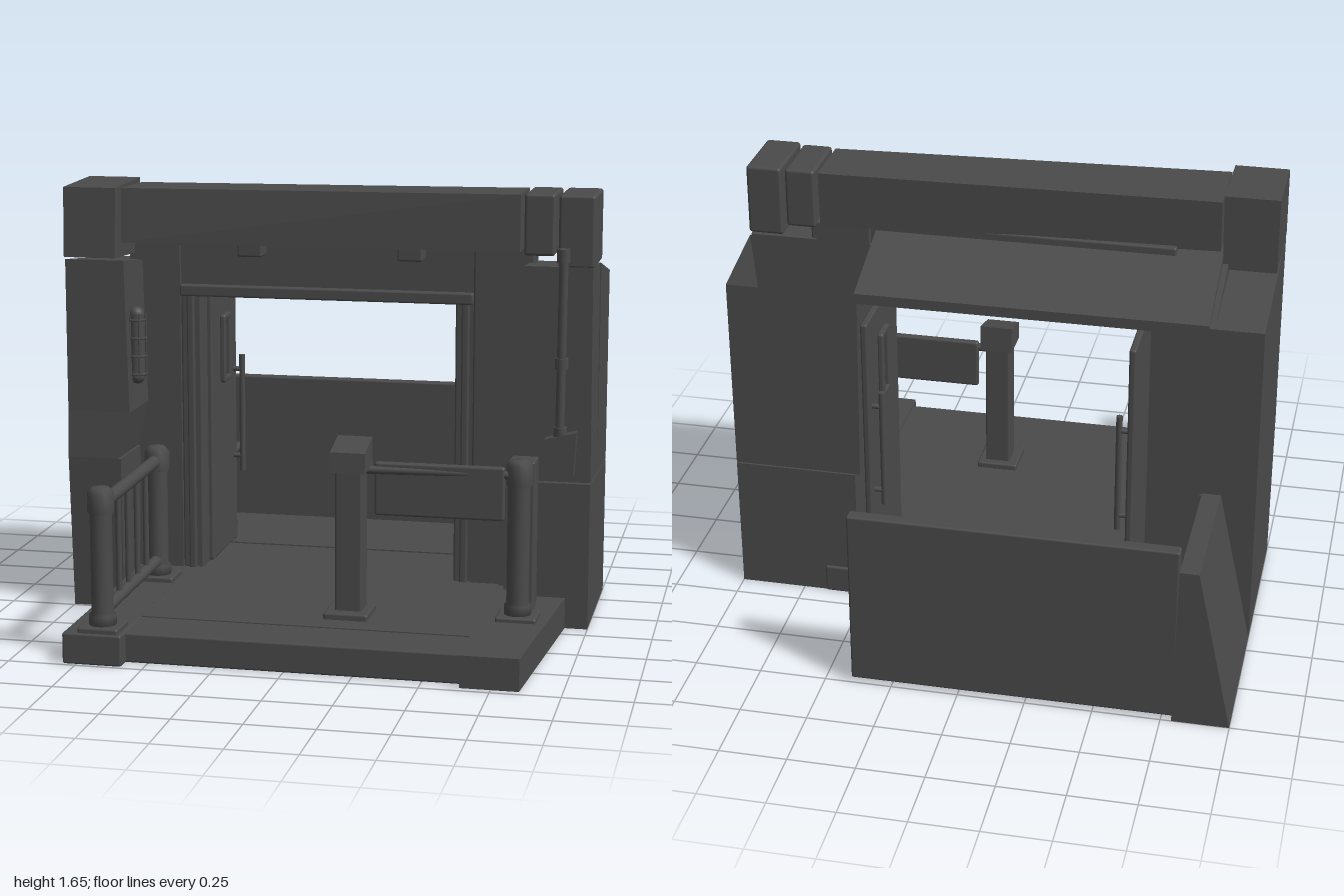
import * as THREE from 'three';
import { RoundedBoxGeometry } from 'three/addons/geometries/RoundedBoxGeometry.js';

const darkGrey = new THREE.MeshStandardMaterial({ color: 0x4a4a4a });
darkGrey.name = 'darkGrey';
const openGrey = darkGrey;

export function createModel() {
  const root = new THREE.Group();
  root.name = 'entrance';

  const add = (name, geometry, x = 0, y = 0, z = 0) => {
    const mesh = new THREE.Mesh(geometry, openGrey);
    mesh.name = name;
    mesh.position.set(x, y, z);
    root.add(mesh);
    return mesh;
  };

  // box given by its limits, with softly rounded edges
  const box = (name, x0, x1, y0, y1, z0, z1, r = 0.008) => {
    const w = x1 - x0, h = y1 - y0, d = z1 - z0;
    return add(name, new RoundedBoxGeometry(w, h, d, 2, Math.min(r, w / 3, h / 3, d / 3)),
      (x0 + x1) / 2, (y0 + y1) / 2, (z0 + z1) / 2);
  };

  // six-sided block; corners run front-left, front-right, back-right, back-left
  const block = (name, low, high, openTop = false) => {
    const quads = [[low[3], low[2], low[1], low[0]]];
    if (!openTop) quads.push(high);
    for (let i = 0; i < 4; i++) {
      const j = (i + 1) % 4;
      quads.push([low[i], low[j], high[j], high[i]]);
    }
    return faces(name, quads);
  };
  const faces = (name, quads) => {
    const g = new THREE.BufferGeometry();
    const pos = quads.flatMap(([a, b, c, d]) => [a, b, c, a, c, d].flat());
    g.setAttribute('position', new THREE.Float32BufferAttribute(pos, 3));
    g.computeVertexNormals();
    return add(name, g);
  };
  const ring = (x0, x1, zBack, zFront, yBack, yFront) =>
    [[x0, yFront, zFront], [x1, yFront, zFront], [x1, yBack, zBack], [x0, yBack, zBack]];

  // round bar between two points
  const bar = (name, a, b, r, sides = 16) => {
    const p = new THREE.Vector3(...a), q = new THREE.Vector3(...b);
    const mesh = add(name, new THREE.CylinderGeometry(r, r, p.distanceTo(q), sides));
    mesh.position.copy(p).add(q).multiplyScalar(0.5);
    mesh.quaternion.setFromUnitVectors(new THREE.Vector3(0, 1, 0), q.sub(p).normalize());
    return mesh;
  };

  // platform, curbs and rear floor
  box('frontFloor', -0.6, 0.66, 0, 0.11, -0.42, 0.93);
  box('frontStepPanel', -0.59, 0.64, 0.1, 0.116, -0.1, 0.72, 0.003);
  box('leftFloorEdge', -0.8, -0.58, 0, 0.115, -0.3, 0.99);
  block('rightFloorEdge',
    [[0.64, 0, 0.97], [0.85, 0, 0.97], [0.92, 0, 0.1], [0.64, 0, 0.1]],
    [[0.64, 0.118, 0.97], [0.85, 0.118, 0.97], [0.92, 0.118, 0.1], [0.64, 0.118, 0.1]]);
  block('rearFloor', [[-0.8, 0, -0.4], [0.4, 0, -0.4], [0.4, 0.03, -0.97], [-0.8, 0.03, -0.97]],
    ring(-0.8, 0.4, -0.97, -0.4, 0.1, 0.115));

  // low rear walls
  box('rearWall', -0.8, 0.4, 0.02, 0.71, -1, -0.95);
  block('leaningSideWall', ring(-1, -0.79, -1, -0.4, 0, 0), ring(-0.87, -0.8, -1, -0.4, 0.63, 0.61));

  // right pillar with a hollow upper part
  block('rightPillarBase', ring(0.53, 1, -0.41, 0.02, 0, 0), ring(0.53, 1, -0.41, 0.02, 0.53, 0.55));
  block('rightPillarFoot', ring(0.74, 1, -0.05, 0.17, 0, 0), ring(0.74, 1, -0.05, 0.17, 0.545, 0.56));
  block('rightPillarShell', ring(0.51, 1, -0.41, -0.08, 0.535, 0.55), ring(0.5, 1, -0.41, -0.08, 1.29, 1.36), true);
  block('rightPillarFront', ring(0.74, 1, -0.1, 0.165, 0.55, 0.565), ring(0.74, 0.995, -0.1, 0.17, 1.36, 1.375));
  box('rightRecessWall', 0.53, 0.76, 0.1, 1.43, -0.09, 0.02);
  const rim = ring(0.5, 1, -0.41, -0.1, 1.29, 1.355);
  const pit = ring(0.62, 0.93, -0.16, -0.11, 0.62, 0.6);
  faces('pillarHollow', [pit, ...[0, 1, 2, 3].map(i => {
    const j = (i + 1) % 4;
    return [rim[i], rim[j], pit[j], pit[i]];
  })]);

  // left pillar
  block('leftPillarBase', ring(-1, -0.8, -0.41, 0.24, 0, 0), ring(-1, -0.79, -0.41, 0.28, 0.6, 0.6));
  block('leftPillarUpper', ring(-1, -0.8, -0.41, 0.28, 0.6, 0.6), ring(-1, -0.755, -0.41, 0.27, 0.78, 0.78));
  block('leftPillarTop', ring(-1, -0.755, -0.41, 0.27, 0.78, 0.78), ring(-1, -0.77, -0.41, 0.27, 1.29, 1.365));
  block('leftRecessWall', ring(-0.82, -0.62, -0.4, 0.02, 0, 0), ring(-0.82, -0.62, -0.4, 0.02, 1.29, 1.4));

  // lintel, its end caps and the sloped roof
  block('lintelBeam',
    [[-0.79, 1.43, 0.23], [0.72, 1.42, 0.14], [0.72, 1.42, -0.1], [-0.79, 1.43, -0.05]],
    [[-0.79, 1.635, 0.22], [0.72, 1.635, 0.14], [0.72, 1.635, -0.11], [-0.79, 1.63, -0.06]]);
  block('leftCap', ring(-1, -0.8, -0.05, 0.285, 1.36, 1.375), ring(-1, -0.795, -0.05, 0.275, 1.65, 1.64));
  box('middleCap', 0.735, 0.85, 1.41, 1.64, -0.11, 0.15, 0.012);
  box('rightCap', 0.865, 1, 1.37, 1.64, -0.11, 0.17, 0.012);
  block('slopedRoof', ring(-0.8, 0.51, -0.41, -0.02, 1.26, 1.38), ring(-0.8, 0.51, -0.41, -0.02, 1.3, 1.43));

  // doorway frame and small ceiling lamps
  box('doorHeaderWall', -0.63, 0.54, 1.23, 1.44, -0.08, 0);
  box('doorHeaderTrim', -0.62, 0.53, 1.2, 1.245, -0.1, 0.03);
  for (const [x0, x1] of [[-0.62, -0.54], [0.46, 0.54]]) {
    box('doorJamb', x0, x1, 0.11, 1.21, -0.1, 0.01);
    box('jambTrim', x0 + 0.025, x1 - 0.025, 0.11, 1.21, -0.09, 0.025);
  }
  for (const x of [-0.32, 0.3]) box('ceilingLamp', x - 0.048, x + 0.048, 1.37, 1.43, 0.02, 0.11);

  // open door leaves with window frames and pull bars
  for (const [x, s] of [[-0.535, 1], [0.465, -1]]) {
    box('doorLeaf', x - 0.013, x + 0.013, 0.12, 1.2, -0.46, -0.08);
    const wx = x + s * 0.022;
    for (const z of [-0.3, -0.22]) box('windowFrameSide', wx - 0.012, wx + 0.012, 0.82, 1.09, z - 0.012, z + 0.012);
    for (const y of [0.83, 1.08]) box('windowFrameRail', wx - 0.012, wx + 0.012, y - 0.012, y + 0.012, -0.31, -0.21);
    const hx = x + s * 0.05;
    bar('pullBar', [hx, 0.42, -0.41], [hx, 0.9, -0.41], 0.012);
    for (const y of [0.48, 0.84]) bar('pullBarMount', [x, y, -0.41], [hx, y, -0.41], 0.01);
  }

  // round posts with plates, collars and domed tops
  const post = (x, z, top) => {
    box('postPlate', x - 0.075, x + 0.075, 0.105, 0.135, z - 0.07, z + 0.07);
    const profile = [[0, 0.12], [0.05, 0.12], [0.05, 0.17], [0.04, 0.18], [0.04, top - 0.1],
      [0.048, top - 0.09], [0.048, top - 0.02], [0.03, top], [0, top]];
    add('railPost', new THREE.LatheGeometry(profile.map(p => new THREE.Vector2(...p)), 20), x, 0, z);
  };
  post(-0.67, 0.91, 0.64);
  post(-0.67, 0.2, 0.64);
  post(0.775, 0.47, 0.71);

  // left railing
  for (const [y, r] of [[0.575, 0.025], [0.18, 0.022]]) bar('handrail', [-0.67, y, 0.91], [-0.67, y + 0.01, 0.2], r);
  for (let i = 0; i < 5; i++) {
    const z = 0.82 - i * 0.115;
    bar('baluster', [-0.67, 0.18, z], [-0.67, 0.58, z], 0.011, 10);
  }

  // right gate: support box, arm, hanging panel and pedestal
  box('gateSupport', 0.72, 0.82, 0.115, 0.685, 0.28, 0.39);
  bar('gateArm', [0.2, 0.655, 0.5], [0.775, 0.655, 0.485], 0.016);
  box('gatePanel', 0.245, 0.725, 0.485, 0.685, 0.475, 0.505, 0.012);
  box('pedestalPlate', 0.08, 0.245, 0.11, 0.14, 0.45, 0.63);
  box('pedestalBody', 0.115, 0.215, 0.13, 0.68, 0.48, 0.585);
  block('pedestalHead', ring(0.1, 0.23, 0.455, 0.605, 0.665, 0.66), ring(0.1, 0.23, 0.46, 0.6, 0.77, 0.735));

  // pipe at the rear
  bar('rearPipeLeg', [-0.64, 0.11, -0.68], [-0.64, 0.4, -0.68], 0.022);
  bar('rearPipe', [-0.64, 0.4, -0.68], [-0.64, 0.4, -0.96], 0.018);
  add('rearPipeElbow', new THREE.SphereGeometry(0.03, 16, 12), -0.64, 0.4, -0.68);
  bar('rearPipeFlange', [-0.64, 0.11, -0.68], [-0.64, 0.135, -0.68], 0.06, 24);

  // conduit and tilted box on the right pillar
  bar('conduit', [0.885, 0.74, 0.195], [0.89, 1.44, 0.195], 0.017);
  for (const [y, h] of [[1.42, 0.05], [1.02, 0.04], [0.76, 0.04]]) {
    bar('conduitCollar', [0.888, y - h / 2, 0.195], [0.888, y + h / 2, 0.195], 0.025);
  }
  block('conduitBox',
    [[0.82, 0.575, 0.22], [0.94, 0.6, 0.22], [0.94, 0.6, 0.16], [0.82, 0.575, 0.16]],
    [[0.83, 0.735, 0.22], [0.95, 0.765, 0.22], [0.95, 0.765, 0.16], [0.83, 0.735, 0.16]]);

  // caged wall lamp on the left pillar
  add('wallLamp', new THREE.CapsuleGeometry(0.03, 0.24, 6, 16), -0.745, 1.03, 0.19);
  for (const y of [0.92, 0.99, 1.06, 1.13]) {
    add('lampCageRing', new THREE.TorusGeometry(0.036, 0.005, 6, 18), -0.745, y, 0.19).rotation.x = Math.PI / 2;
  }
  for (let i = 0; i < 6; i++) {
    const a = i * Math.PI / 3, x = -0.745 + 0.036 * Math.cos(a), z = 0.19 + 0.036 * Math.sin(a);
    bar('lampCageBar', [x, 0.91, z], [x, 1.15, z], 0.004, 6);
  }
  return root;
}
